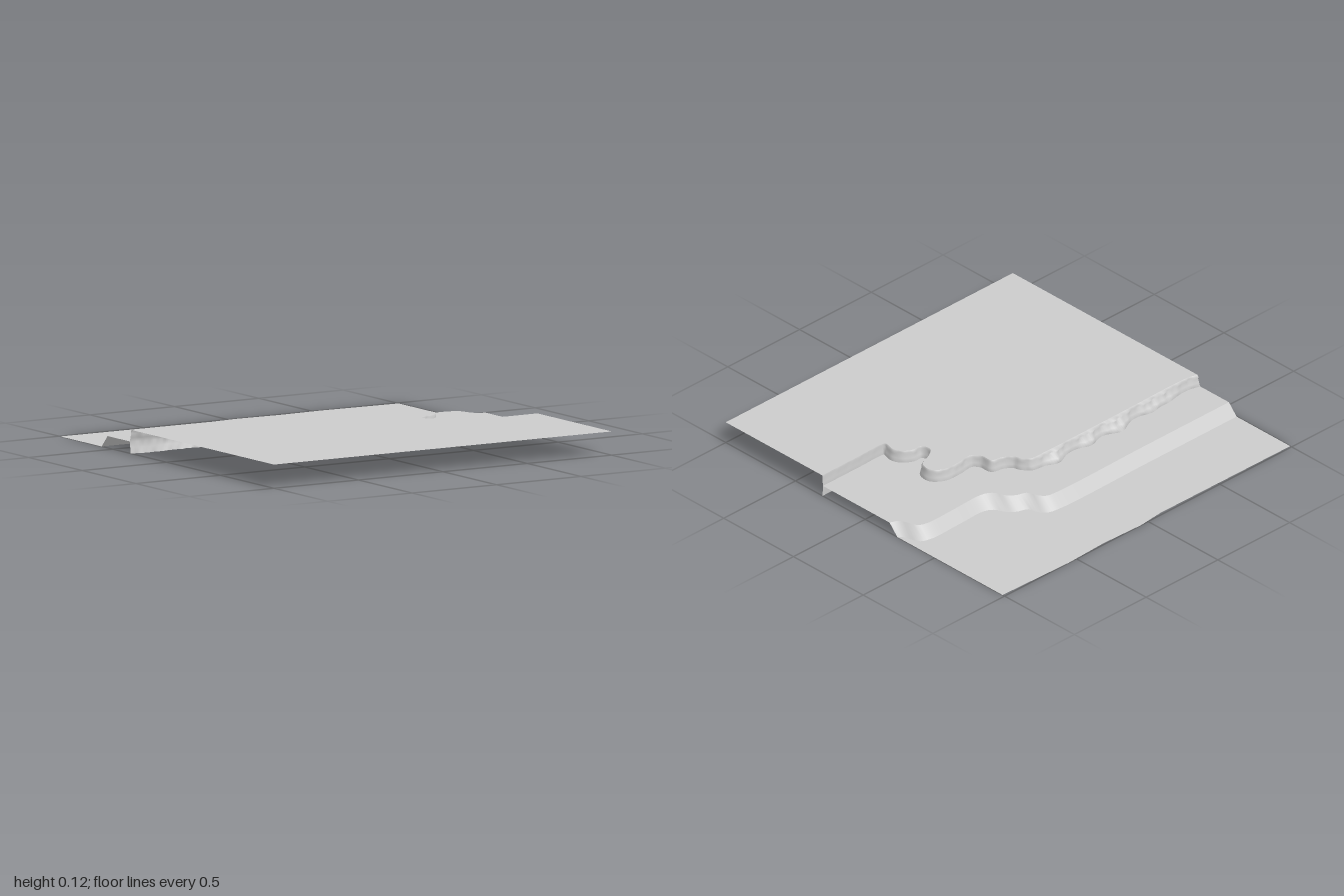
import * as THREE from 'three';

const PLATEAU_Y = 0.12, LEDGE_Y = 0.06, GROUND_Y = 0;

const rock = new THREE.MeshStandardMaterial({ color: 0xcccccc, side: THREE.DoubleSide });
rock.name = 'grey rock';

// Smooth plan curve through [x, z] points, evenly resampled
function planCurve(points, count) {
  const curve = new THREE.CatmullRomCurve3(points.map(([x, z]) => new THREE.Vector3(x, 0, z)), false, 'centripetal');
  return curve.getSpacedPoints(count);
}

// Flat sheet facing up, bounded by a plan outline
function sheet(name, outline, y) {
  const shape = new THREE.Shape(outline.map(p => new THREE.Vector2(p.x, -p.z)));
  const geometry = new THREE.ShapeGeometry(shape).rotateX(-Math.PI / 2).translate(0, y, 0);
  const mesh = new THREE.Mesh(geometry, rock);
  mesh.name = name;
  return mesh;
}

// Smooth strip lofted between rows of equal length, listed from top to bottom
function strip(name, rows) {
  const n = rows[0].length, positions = [], index = [];
  rows.forEach(row => row.forEach(p => positions.push(p.x, p.y, p.z)));
  for (let j = 0; j < rows.length - 1; j++) {
    for (let i = 0; i < n - 1; i++) {
      const a = j * n + i, c = a + n;
      index.push(a, a + 1, c, a + 1, c + 1, c);
    }
  }
  const geometry = new THREE.BufferGeometry();
  geometry.setAttribute('position', new THREE.Float32BufferAttribute(positions, 3));
  geometry.setIndex(index);
  geometry.computeVertexNormals();
  const mesh = new THREE.Mesh(geometry, rock);
  mesh.name = name;
  return mesh;
}

// Rock bulges along the straight part of the cliff: [x, size, width]
const BULGES = [[-0.78, 0.018, 0.07], [-0.66, 0.025, 0.06], [-0.43, 0.045, 0.07], [-0.23, 0.03, 0.06], [0, 0.035, 0.06]];

function bulge(p) {
  if (p.x > 0.57 && p.z > 0.29) return 0.005;
  let size = p.x < 0.15 ? 0.019 : 0.015;
  for (const [x, s, w] of BULGES) size += s * Math.exp(-(((p.x - x) / w) ** 2)) * (p.z < -0.25 ? 1 : 0);
  return size;
}

export function createModel() {
  const group = new THREE.Group();
  group.name = 'steppedTerrain';
  const corner = (x, z) => new THREE.Vector3(x, 0, z);

  // Rim of the high plateau
  const rim = planCurve([
    [-1, -0.325], [-0.94, -0.31], [-0.5, -0.31], [0.05, -0.31], [0.14, -0.305], [0.175, -0.27], [0.19, -0.23],
    [0.24, -0.195], [0.295, -0.18], [0.3, -0.12], [0.335, -0.075], [0.43, -0.08], [0.52, -0.075],
    [0.575, -0.03], [0.565, 0.035], [0.49, 0.07], [0.44, 0.11], [0.455, 0.16], [0.51, 0.165],
    [0.56, 0.2], [0.575, 0.24], [0.565, 0.3], [0.58, 0.308], [0.75, 0.308], [1, 0.308]
  ], 260);
  const last = rim.length - 1;

  // Cliff row: rim pushed outward by a share of the rock bulge
  const cliffRow = (y, share, ripple) => rim.map((p, i) => {
    const t = rim[Math.min(i + 1, last)].clone().sub(rim[Math.max(i - 1, 0)]).normalize();
    const size = bulge(p);
    const d = size * (share + ripple * Math.sin(i * 0.9 + y * 60) * Math.sin(i * 0.37));
    const x = i === 0 ? -1 : i === last ? 1 : p.x + t.z * d;
    return new THREE.Vector3(x, y, p.z - t.x * d);
  });
  const foot = cliffRow(LEDGE_Y, 1, 0);
  group.add(strip('cliffWall', [
    cliffRow(PLATEAU_Y, 0, 0), cliffRow(0.112, 0.35, 0.15), cliffRow(0.1, 0.25, 0.2),
    cliffRow(0.08, 0.65, 0.2), foot, cliffRow(0.03, 0.75, 0.15), cliffRow(GROUND_Y, 0.5, 0.15)
  ]));

  // Bank from the ledge down to the low ground
  const bankTop = planCurve([
    [-1, -0.55], [-0.4, -0.55], [0.2, -0.552], [0.265, -0.54], [0.295, -0.5], [0.31, -0.455], [0.37, -0.43],
    [0.41, -0.39], [0.43, -0.34], [0.48, -0.31], [0.7, -0.31], [0.86, -0.31], [0.915, -0.29],
    [0.935, -0.235], [0.955, -0.195], [1, -0.175]
  ], 120);
  const bankBottom = planCurve([
    [-1, -0.605], [-0.4, -0.605], [0.23, -0.605], [0.3, -0.59], [0.335, -0.55], [0.35, -0.5], [0.41, -0.475],
    [0.45, -0.435], [0.475, -0.385], [0.52, -0.36], [0.7, -0.36], [0.89, -0.36], [0.95, -0.335],
    [0.97, -0.285], [0.98, -0.25], [1, -0.23]
  ], 120);
  const raise = (row, y) => row.map(p => new THREE.Vector3(p.x, y, p.z));
  group.add(strip('bank', [raise(bankTop, LEDGE_Y), raise(bankBottom, GROUND_Y)]));

  // Level sheets at the three heights
  group.add(sheet('plateau', [...rim, corner(1, 1), corner(-1, 1)], PLATEAU_Y));
  group.add(sheet('ledge', [...bankTop, ...foot.slice().reverse()], LEDGE_Y));
  group.add(sheet('lowGround', [
    corner(-1, -0.99), corner(-0.1, -0.985), corner(0.05, -1), corner(0.3, -0.99), corner(0.55, -1), corner(1, -0.985),
    ...bankBottom.slice().reverse()
  ], GROUND_Y));
  return group;
}
